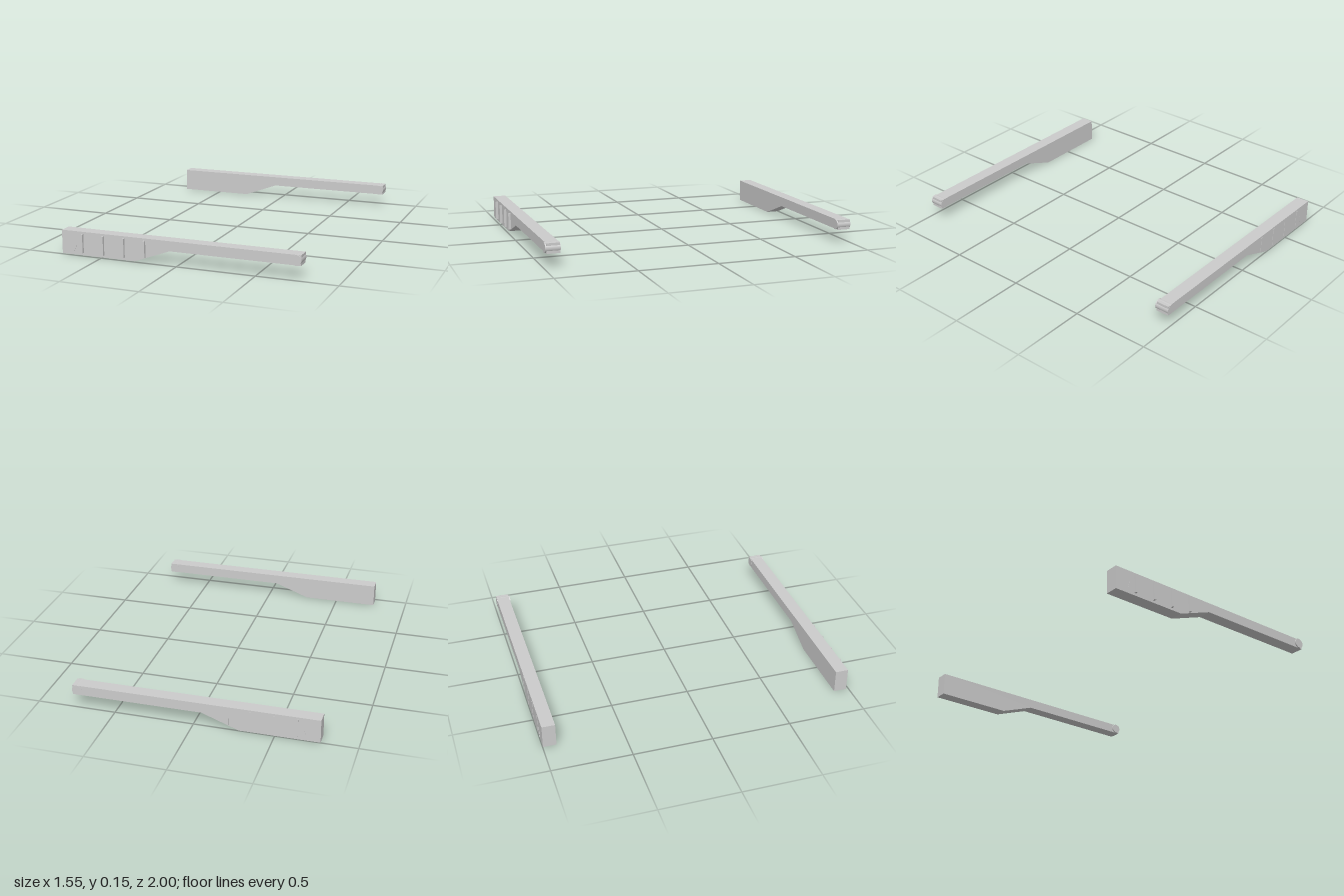
import * as THREE from 'three';

const material = new THREE.MeshStandardMaterial({ color: 0xcccccc });

function part(name, geometry, x = 0, y = 0, z = 0) {
  const mesh = new THREE.Mesh(geometry, material);
  mesh.name = name;
  mesh.position.set(x, y, z);
  return mesh;
}

// Flat side outline given thickness along z
function slab(points, depth) {
  const shape = new THREE.Shape(points.map(([x, y]) => new THREE.Vector2(x, y)));
  return new THREE.ExtrudeGeometry(shape, { depth, bevelEnabled: false });
}

// One rail: z0 and z1 bound the beam, ribZ is the outer limit of its ribs
function createRail(name, z0, z1, ribZ) {
  const rail = new THREE.Group();
  rail.name = name;

  // Deep end, sloped underside, slim arm
  const outline = [[-0.775, 0], [-0.28, 0], [-0.05, 0.086], [0.771, 0.086], [0.771, 0.149], [-0.775, 0.149]];
  rail.add(part('beam', slab(outline, z1 - z0), 0, 0, z0));

  // Round pivot across the slim end
  const pivot = new THREE.CylinderGeometry(0.032, 0.032, z1 - z0 + 0.01, 32).rotateX(Math.PI / 2);
  rail.add(part('pivot', pivot, 0.743, 0.118, (z0 + z1) / 2 + 0.003));

  // Upright ribs on the outer face
  const face = ribZ > 0 ? z1 : z0;
  const depth = Math.abs(ribZ - face) + 0.004;
  const ribCentre = ribZ - Math.sign(ribZ) * depth / 2;
  [-0.633, -0.492, -0.353, -0.214].forEach((x, i) => {
    const bottom = i === 3 ? 0.03 : 0.016;
    rail.add(part('rib', new THREE.BoxGeometry(0.012, 0.135 - bottom, depth), x, (0.135 + bottom) / 2, ribCentre));
  });

  // Thin curved ridge near the deep end
  const crescent = new THREE.Shape();
  crescent.moveTo(-0.698, 0.018);
  crescent.quadraticCurveTo(-0.676, 0.035, -0.676, 0.08);
  crescent.quadraticCurveTo(-0.682, 0.038, -0.698, 0.018);
  const ridge = new THREE.ExtrudeGeometry(crescent, { depth: 0.004, bevelEnabled: false });
  rail.add(part('curvedRidge', ridge, 0, 0, face - 0.002));
  return rail;
}

export function createModel() {
  const model = new THREE.Group();
  model.name = 'railPair';
  model.add(createRail('frontRail', 0.901, 0.984, 1));
  model.add(createRail('backRail', -0.998, -0.915, -1));
  return model;
}
